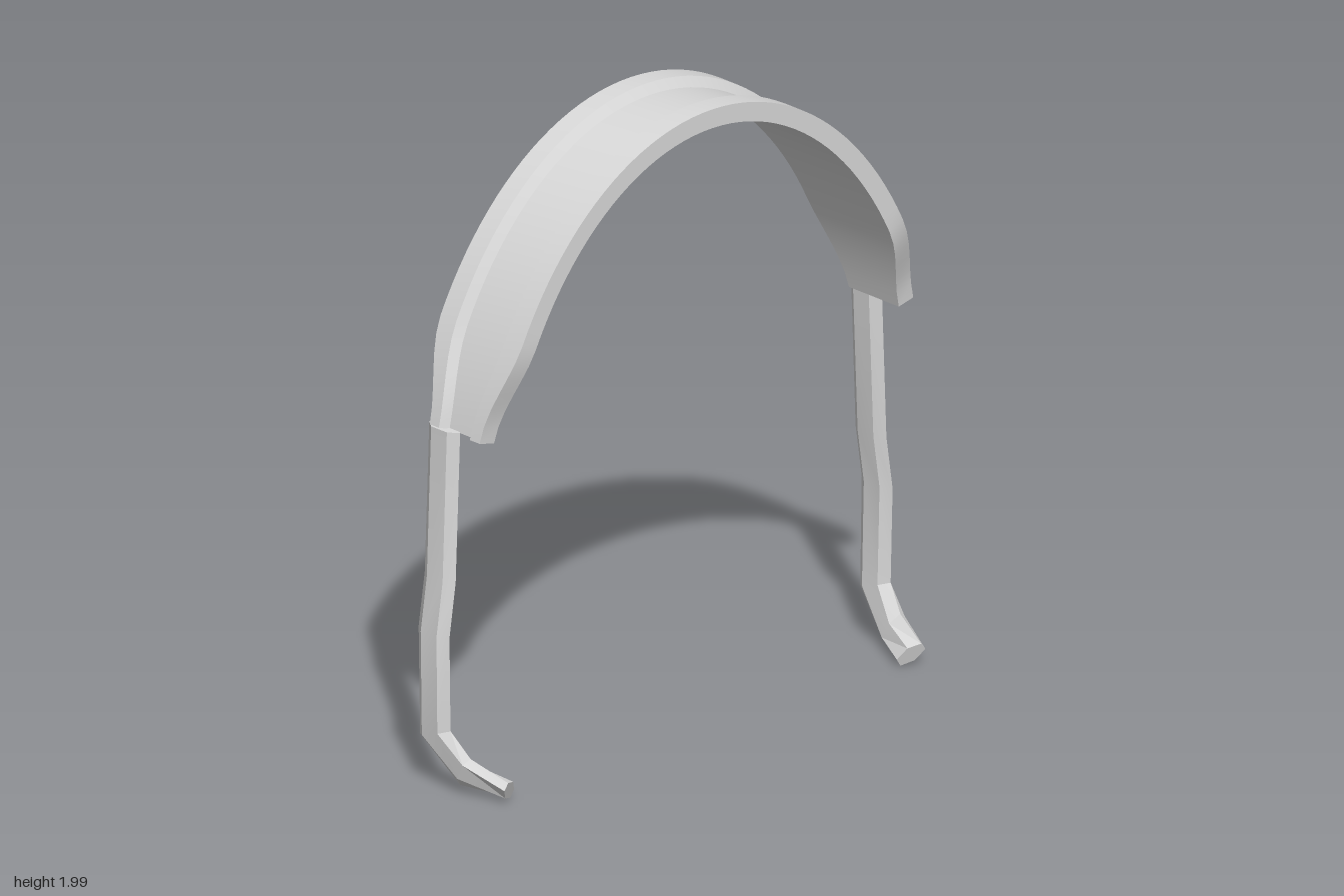
import * as THREE from 'three';
import { toCreasedNormals } from 'three/addons/utils/BufferGeometryUtils.js';

// Skin a list of closed rings (arrays of Vector3) and cap both ends.
// section holds the same ring in 2D, counter-clockwise, to triangulate the caps.
function loft(rings, section, flip, crease) {
  const pos = [];
  const tri = (a, b, c) => {
    for (const p of flip ? [a, c, b] : [a, b, c]) pos.push(p.x, p.y, p.z);
  };
  const n = section.length;
  for (let i = 0; i < rings.length - 1; i++) {
    const A = rings[i], B = rings[i + 1];
    for (let j = 0; j < n; j++) {
      const k = (j + 1) % n;
      tri(A[j], A[k], B[k]);
      tri(A[j], B[k], B[j]);
    }
  }
  const last = rings[rings.length - 1];
  for (const [a, b, c] of THREE.ShapeUtils.triangulateShape(section, [])) {
    tri(rings[0][a], rings[0][c], rings[0][b]);
    tri(last[a], last[b], last[c]);
  }
  const g = new THREE.BufferGeometry();
  g.setAttribute('position', new THREE.Float32BufferAttribute(pos, 3));
  return toCreasedNormals(g, crease);
}

// Arched band with a raised rim along each edge, narrowing at both ends
function bandGeometry() {
  const A = 0.92, B = 1.23, C = 0.77, END = 1.26, TAPER = 0.985, STEPS = 56;
  // x at full width, x at the narrow ends, depth below the rim top
  const profile = [
    [-0.184, -0.115, 0.06], [0.173, 0.103, 0.06], [0.173, 0.103, 0],
    [0.1, 0.06, 0], [0.08, 0.045, 0.03], [-0.095, -0.06, 0.03],
    [-0.115, -0.075, 0], [-0.184, -0.115, 0],
  ];
  const rings = [];
  for (let i = 0; i <= STEPS; i++) {
    const t = -END + (2 * END * i) / STEPS;
    const k = THREE.MathUtils.smoothstep(Math.abs(t), TAPER, END);
    const ny = Math.cos(t) / B, nz = Math.sin(t) / A, len = Math.hypot(ny, nz);
    rings.push(profile.map(([wide, narrow, d]) => new THREE.Vector3(
      wide + (narrow - wide) * k,
      C + B * Math.cos(t) - (d * ny) / len,
      A * Math.sin(t) - (d * nz) / len,
    )));
  }
  return loft(rings, profile.map(([x, , d]) => new THREE.Vector2(x, -d)), false, 0.5);
}

// Hexagonal bar that kinks outward, then turns sideways into a hooked foot
function legGeometry(side) {
  // each station: one side corner, the opposite corner, half thickness vector
  const stations = [
    [[-0.143, 1.142, 0.852], [-0.008, 1.142, 0.852], [0, 0, 0.025]],
    [[-0.143, 0.67, 0.87], [-0.008, 0.67, 0.87], [0, 0, 0.024]],
    [[-0.143, 0.5, 0.895], [-0.008, 0.5, 0.895], [0, 0, 0.024]],
    [[-0.143, 0.156, 0.889], [-0.01, 0.2, 0.889], [0, 0, 0.025]],
    [[0, 0.025, 0.86], [0.055, 0.125, 0.868], [0.005, 0.006, 0.027]],
    [[0.142, 0.006, 0.788], [0.183, 0.076, 0.834], [0.01, -0.005, 0.027]],
  ];
  const section = [[0, 0], [0.26, -1], [0.77, -1], [1, 0], [0.77, 1], [0.26, 1]];
  const rings = stations.map(([a, b, t]) => section.map(([u, v]) => {
    const p = a.map((c, i) => c + (b[i] - c) * u + t[i] * v);
    return new THREE.Vector3(p[0], p[1], p[2] * side);
  }));
  return loft(rings, section.map(([u, v]) => new THREE.Vector2(u, v)), side < 0, 0.3);
}

export function createModel() {
  const metal = new THREE.MeshStandardMaterial({ color: 0xd9d9d9 });
  metal.name = 'light grey';
  const group = new THREE.Group();
  group.name = 'headband';
  const add = (name, geometry) => {
    const mesh = new THREE.Mesh(geometry, metal);
    mesh.name = name;
    group.add(mesh);
  };
  add('archBand', bandGeometry());
  add('frontLeg', legGeometry(1));
  add('backLeg', legGeometry(-1));
  return group;
}
